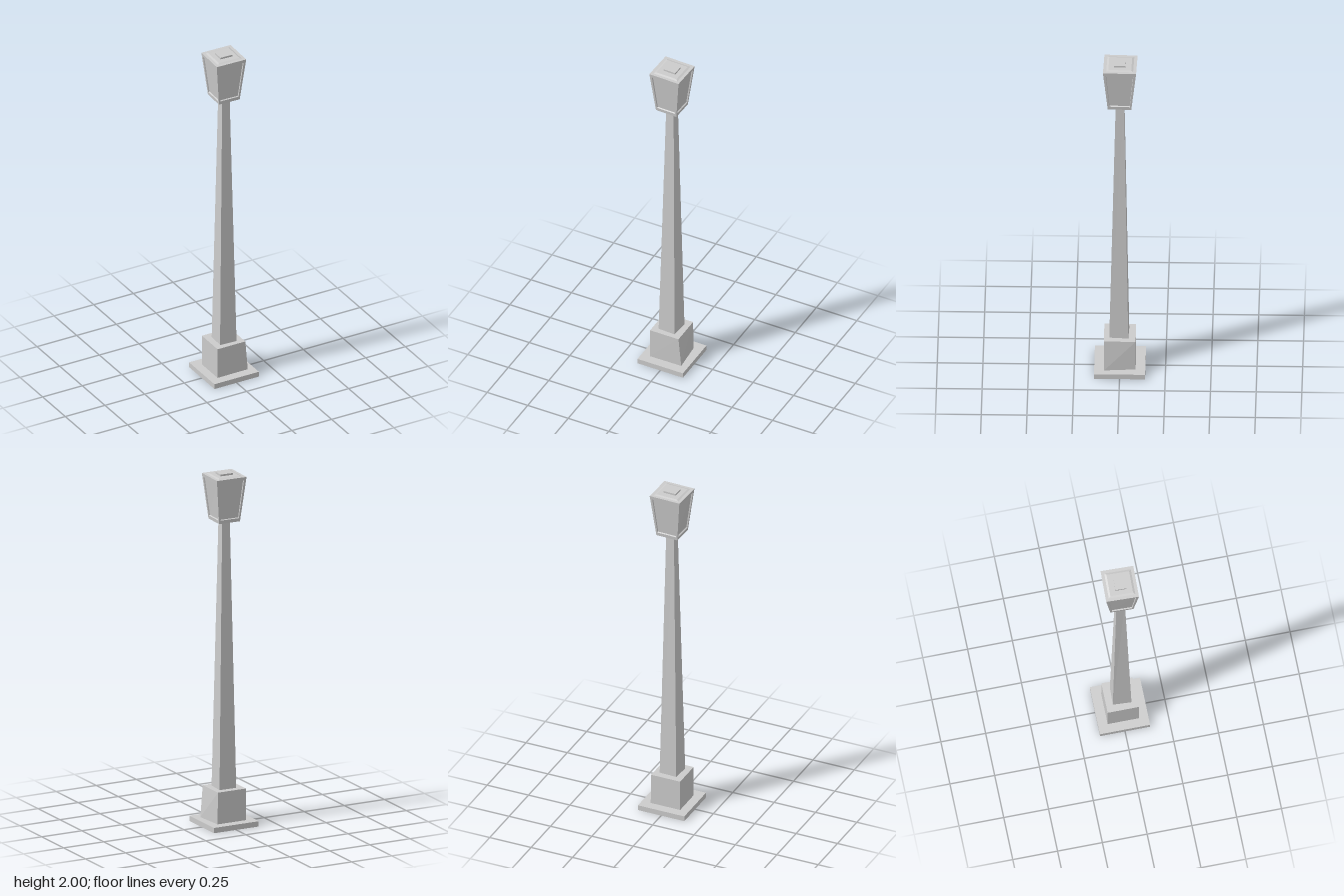
import * as THREE from 'three';

const grey = new THREE.MeshStandardMaterial({ color: 0xcccccc, flatShading: true });

function meshFromQuads(name, quads) {
  const points = quads.flatMap(([a, b, c, d]) => [a, b, c, a, c, d]);
  const geometry = new THREE.BufferGeometry().setFromPoints(points);
  geometry.computeVertexNormals();
  const mesh = new THREE.Mesh(geometry, grey);
  mesh.name = name;
  return mesh;
}

// Four [x, z] corners at height y: back left, back right, front right, front left (in plan)
const ring = (y, corners) => corners.map(([x, z]) => new THREE.Vector3(x, y, z));
const square = (h) => [[-h, -h], [h, -h], [h, h], [-h, h]];

// The six outward quads between a lower and an upper ring: four sides, top, bottom
function hullFaces(low, high) {
  const sides = low.map((p, i) => {
    const j = (i + 1) % 4;
    return [low[j], p, high[i], high[j]];
  });
  return { sides, top: [...high].reverse(), bottom: low };
}

function block(name, low, high) {
  const { sides, top, bottom } = hullFaces(low, high);
  return meshFromQuads(name, [...sides, top, bottom]);
}

// Split a face into a border, a step and a panel moved along the normal by depth
function panelled(q, margin, innerMargin, depth) {
  const normal = q[1].clone().sub(q[0]).cross(q[3].clone().sub(q[0])).normalize();
  const at = (u, v) => q[0].clone().lerp(q[1], u).lerp(q[3].clone().lerp(q[2], u), v);
  const loop = (m) => [at(m, m), at(1 - m, m), at(1 - m, 1 - m), at(m, 1 - m)];
  const rim = loop(margin);
  const panel = loop(innerMargin).map((p) => p.addScaledVector(normal, depth));
  const quads = [panel];
  for (let i = 0; i < 4; i++) {
    const j = (i + 1) % 4;
    quads.push([q[i], q[j], rim[j], rim[i]], [rim[i], rim[j], panel[j], panel[i]]);
  }
  return quads;
}

export function createModel() {
  const model = new THREE.Group();
  model.name = 'lampPost';

  // Foot: flat plate and a slightly crooked plinth
  model.add(block('basePlate', ring(0, square(0.14)), ring(0.03, square(0.14))));
  model.add(block('plinth',
    ring(0.03, [[-0.09, -0.087], [0.088, -0.087], [0.101, 0.085], [-0.09, 0.087]]),
    ring(0.21, [[-0.09, -0.087], [0.085, -0.087], [0.085, 0.087], [-0.09, 0.087]])));

  // Tapered, slightly twisted shaft, reaching into the lantern's recessed underside
  model.add(block('shaft',
    ring(0.21, [[-0.049, -0.05], [0.053, -0.046], [0.046, 0.058], [-0.055, 0.053]]),
    ring(1.74, [[-0.023, -0.024], [0.024, -0.023], [0.022, 0.023], [-0.024, 0.022]])));

  // Lantern: wider at the top, with recessed panes and underside
  const lantern = new THREE.Group();
  lantern.name = 'lantern';
  const low = ring(1.73, [[-0.063, -0.067], [0.065, -0.063], [0.061, 0.066], [-0.067, 0.062]]);
  const high = ring(1.986, [[-0.089, -0.095], [0.093, -0.09], [0.088, 0.092], [-0.095, 0.087]]);
  const { sides, top, bottom } = hullFaces(low, high);
  sides.forEach((side, i) => lantern.add(
    meshFromQuads(['backPane', 'leftPane', 'frontPane', 'rightPane'][i], panelled(side, 0.075, 0.085, -0.007))));
  lantern.add(meshFromQuads('underside', panelled(bottom, 0.085, 0.095, -0.008)));

  // Shallow raised roof and small cap
  lantern.add(meshFromQuads('roof', panelled(top, 0.095, 0.155, 0.004)));
  const cap = [[-0.037, -0.033], [0.037, -0.03], [0.035, 0.031], [-0.038, 0.028]];
  lantern.add(block('roofCap', ring(1.988, cap), ring(2, cap)));
  model.add(lantern);

  return model;
}
